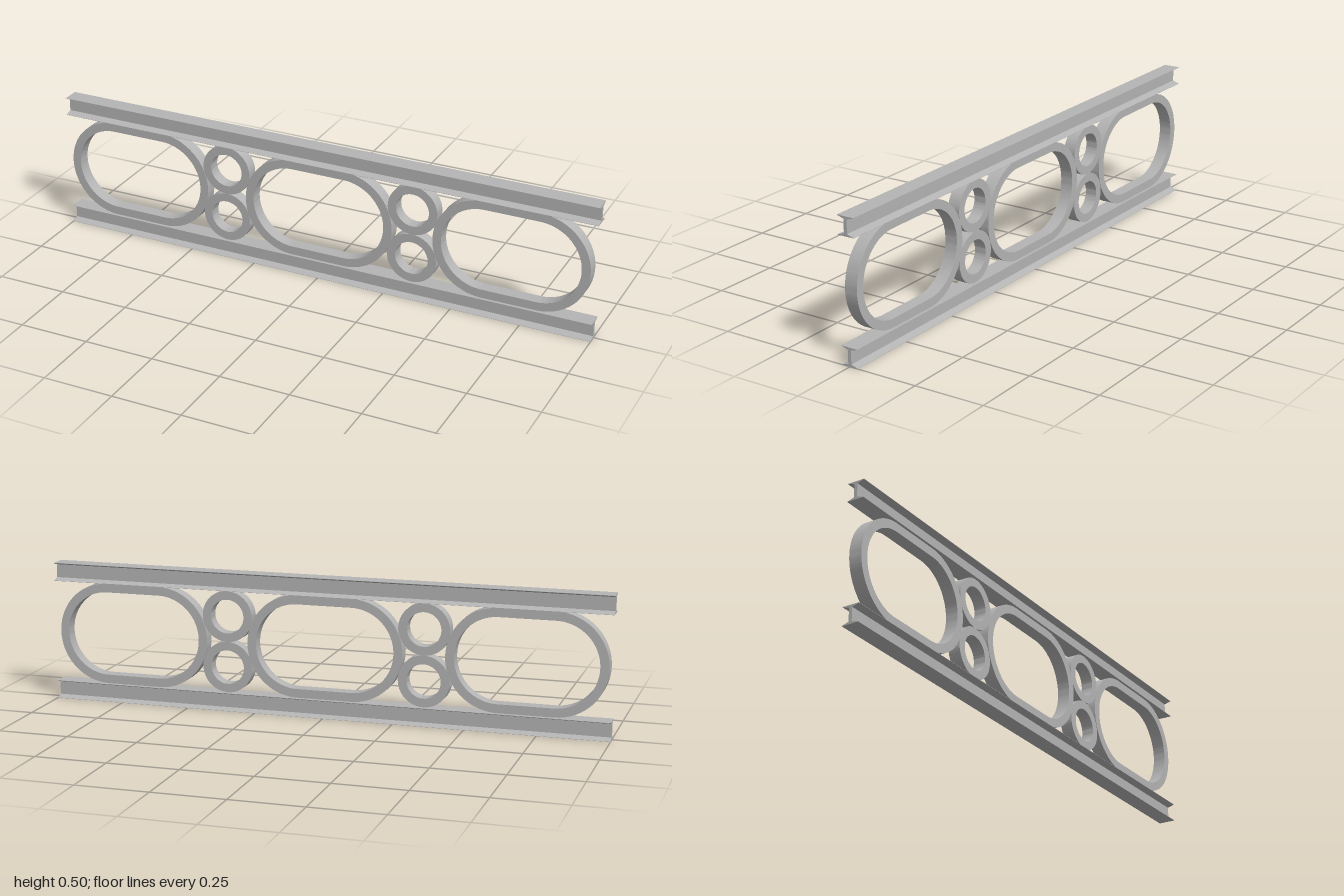
import * as THREE from 'three';
import { toCreasedNormals } from 'three/addons/utils/BufferGeometryUtils.js';

const MID_Y = 0.248;

// Stadium outline: two half circles joined by straights of half length a
function outline(path, a, r) {
  path.absarc(a, 0, r, -Math.PI / 2, Math.PI / 2, false);
  path.absarc(-a, 0, r, Math.PI / 2, Math.PI * 1.5, false);
  path.closePath();
  return path;
}

// Flat ring; a = 0 gives a round one
function ringGeometry(a, outer, inner, depth) {
  const shape = outline(new THREE.Shape(), a, outer);
  shape.holes.push(outline(new THREE.Path(), a, inner));
  const geo = new THREE.ExtrudeGeometry(shape, { depth, bevelEnabled: false, curveSegments: 32 });
  geo.translate(0, 0, -depth / 2);
  return toCreasedNormals(geo, 0.5);
}

// I-section with tapered flanges, run along x
function beamGeometry() {
  const w = 0.031, web = 0.006, h = 0.0325, tip = 0.001, root = 0.009;
  const half = [[w, -h], [w, -h + tip], [web, -h + root], [web, h - root], [w, h - tip], [w, h]];
  const points = [...half, ...half.map(([x, y]) => [-x, -y])].map(([x, y]) => new THREE.Vector2(x, y));
  const geo = new THREE.ExtrudeGeometry(new THREE.Shape(points), { depth: 2, bevelEnabled: false });
  geo.translate(0, 0, -1);
  geo.rotateY(Math.PI / 2);
  return geo;
}

export function createModel() {
  const model = new THREE.Group();
  model.name = 'openTruss';
  const steel = new THREE.MeshStandardMaterial({ color: 0xb4b4b4 });
  steel.name = 'steelGrey';

  const add = (name, geo, x, y) => {
    const mesh = new THREE.Mesh(geo, steel);
    mesh.name = name;
    mesh.position.set(x, y, 0);
    model.add(mesh);
  };

  // Top and bottom beams
  const beam = beamGeometry();
  add('bottomBeam', beam, 0, 0.0325);
  add('topBeam', beam, 0, 0.4625);

  // Three long rings between the beams
  const oval = ringGeometry(0.0975, 0.181, 0.15, 0.046);
  ['right', 'middle', 'left'].forEach((side, i) => add(side + 'OvalRing', oval, -0.003 + (i - 1) * 0.707, MID_Y));

  // Pairs of round rings in the gaps
  const round = ringGeometry(0, 0.0905, 0.06, 0.044);
  for (const [side, x] of [['right', -0.357], ['left', 0.35]]) {
    add(side + 'UpperRing', round, x, MID_Y + 0.0905);
    add(side + 'LowerRing', round, x, MID_Y - 0.0905);
  }
  return model;
}
